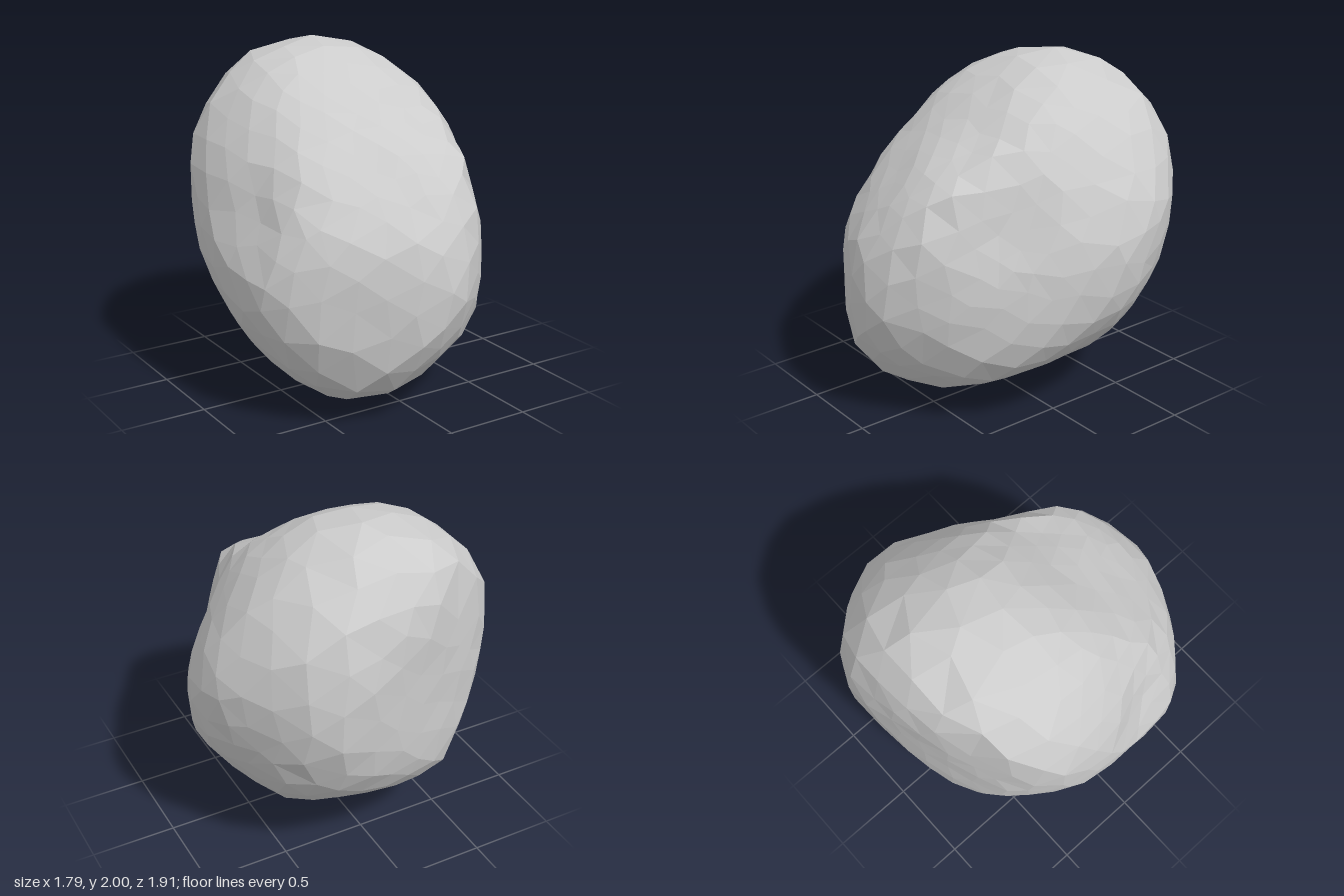
import * as THREE from 'three';
import { mergeVertices } from 'three/addons/utils/BufferGeometryUtils.js';

const V = (x, y, z) => new THREE.Vector3(x, y, z);

// Plane axes (right, up) for a plane turned by azimuth and tipped by elevation, in degrees
function planeAxes(azimuth, elevation) {
  const a = THREE.MathUtils.degToRad(azimuth), e = THREE.MathUtils.degToRad(elevation);
  const right = V(Math.cos(a), 0, -Math.sin(a));
  const toward = V(Math.sin(a) * Math.cos(e), Math.sin(e), Math.cos(a) * Math.cos(e));
  return [right, toward.cross(right)];
}

// Smooth closed outlines of the boulder in six planes: azimuth, elevation, points about its middle
const OUTLINES = [
  [0, 0, [[.05, 1], [.6, .72], [.84, .4], [.9, .05], [.81, -.34], [.41, -.77],
    [-.17, -1], [-.6, -.78], [-.86, -.33], [-.89, .12], [-.6, .79]]],
  [-90, 0, [[.96, -.12], [.63, .46], [-.1, .95], [-.35, 1], [-.75, .89], [-.92, .64],
    [-.96, .1], [-.82, -.44], [-.55, -.7], [.1, -1], [.76, -.78], [.9, -.55]]],
  [0, -90, [[.3, -.96], [.62, -.82], [.86, -.47], [.89, -.15], [.8, .12], [.31, .8],
    [0, .96], [-.7, .64], [-.86, .38], [-.89, -.12], [-.73, -.58]]],
  [40, 26, [[-.21, 1.04], [.34, 1.1], [.86, .73], [.98, .15], [.7, -.53], [-.18, -.96], [-.7, -.87], [-.98, -.3]]],
  [220, 26, [[-.2, .84], [.75, .3], [.97, -.28], [.8, -.64], [.25, -.94], [-.69, -.61], [-.99, 0], [-.85, .53]]],
  [140, -29, [[.05, 1.08], [.5, 1.06], [.9, .55], [.86, -.25], [.3, -1], [-.25, -1.06], [-.74, -.5], [-.55, .55]]],
];

// Shallow hollows: direction, depth, tightness
const DENTS = [
  [V(.06, -.8, -.22).normalize(), .09, 20],
  [V(-.85, .12, .18).normalize(), .08, 28],
  [V(.5, .2, .36).normalize(), .06, 18],
  [V(.22, .55, .22).normalize(), .06, 16],
];

// Flat cuts that bound the stone, tangent to every outline
function boundingCuts() {
  const cuts = [];
  for (const [azimuth, elevation, points] of OUTLINES) {
    const [right, up] = planeAxes(azimuth, elevation);
    const inPlane = (u, v) => right.clone().multiplyScalar(u).addScaledVector(up, v);
    const rim = new THREE.CatmullRomCurve3(points.map(([u, v]) => inPlane(u, v)), true).getPoints(80);
    for (let i = 0; i < 28; i++) {
      const angle = i * Math.PI / 14;
      const normal = inPlane(Math.cos(angle), Math.sin(angle));
      const reach = Math.max(...rim.map((p) => p.dot(normal)));
      cuts.push({ normal, reach, offset: reach });
    }
  }
  return cuts;
}

// Distance from the middle to the nearest cut along a direction
function cutRadius(dir, cuts) {
  let r = 2;
  for (const { normal, offset } of cuts) {
    const d = normal.dot(dir);
    if (d > 0.05) r = Math.min(r, offset / d);
  }
  return r;
}

// Hollows and fine unevenness
function relief(d) {
  let change = 0.006 * Math.sin(23 * d.x + 9 * d.y) * Math.sin(21 * d.y - 14 * d.z + 1);
  for (const [at, depth, tightness] of DENTS) change -= depth * Math.exp(tightness * (d.dot(at) - 1));
  return change;
}

function boulderGeometry() {
  // Sphere with slightly uneven facets
  const sphere = new THREE.IcosahedronGeometry(1, 5);
  sphere.deleteAttribute('normal');
  sphere.deleteAttribute('uv');
  const geometry = mergeVertices(sphere, 1e-3);
  const pos = geometry.attributes.position;
  const dirs = [];
  for (let i = 0; i < pos.count; i++) {
    const d = V(0, 0, 0).fromBufferAttribute(pos, i);
    const shift = V(Math.sin(17 * d.y + 11 * d.z), Math.sin(19 * d.z + 13 * d.x), Math.sin(15 * d.x + 12 * d.y));
    dirs.push(d.addScaledVector(shift, 0.03).normalize());
  }

  // Weights that round the ridges between cuts
  const weights = dirs.map((a) => {
    const row = dirs.map((b) => Math.exp(75 * (a.dot(b) - 1)));
    const sum = row.reduce((p, q) => p + q, 0);
    return row.map((w) => w / sum);
  });

  // Cut, round off, then shift the cuts until the outlines are met
  const cuts = boundingCuts();
  let points = [];
  for (let pass = 0; pass < 14; pass++) {
    const radii = dirs.map((d) => cutRadius(d, cuts));
    points = dirs.map((d, i) => {
      const r = weights[i].reduce((sum, w, k) => sum + w * radii[k], 0);
      return d.clone().multiplyScalar(r + relief(d));
    });
    for (const cut of cuts) {
      const reached = Math.max(...points.map((p) => p.dot(cut.normal)));
      cut.offset += 0.6 * (cut.reach - reached);
    }
  }

  points.forEach((p, i) => pos.setXYZ(i, p.x, p.y, p.z));
  geometry.computeVertexNormals();
  return geometry;
}

export function createModel() {
  const group = new THREE.Group();
  group.name = 'rock';
  const boulder = new THREE.Mesh(
    boulderGeometry(),
    new THREE.MeshStandardMaterial({ color: 0xcccccc, flatShading: true })
  );
  boulder.name = 'boulder';
  boulder.position.y = 1;
  group.add(boulder);
  return group;
}
